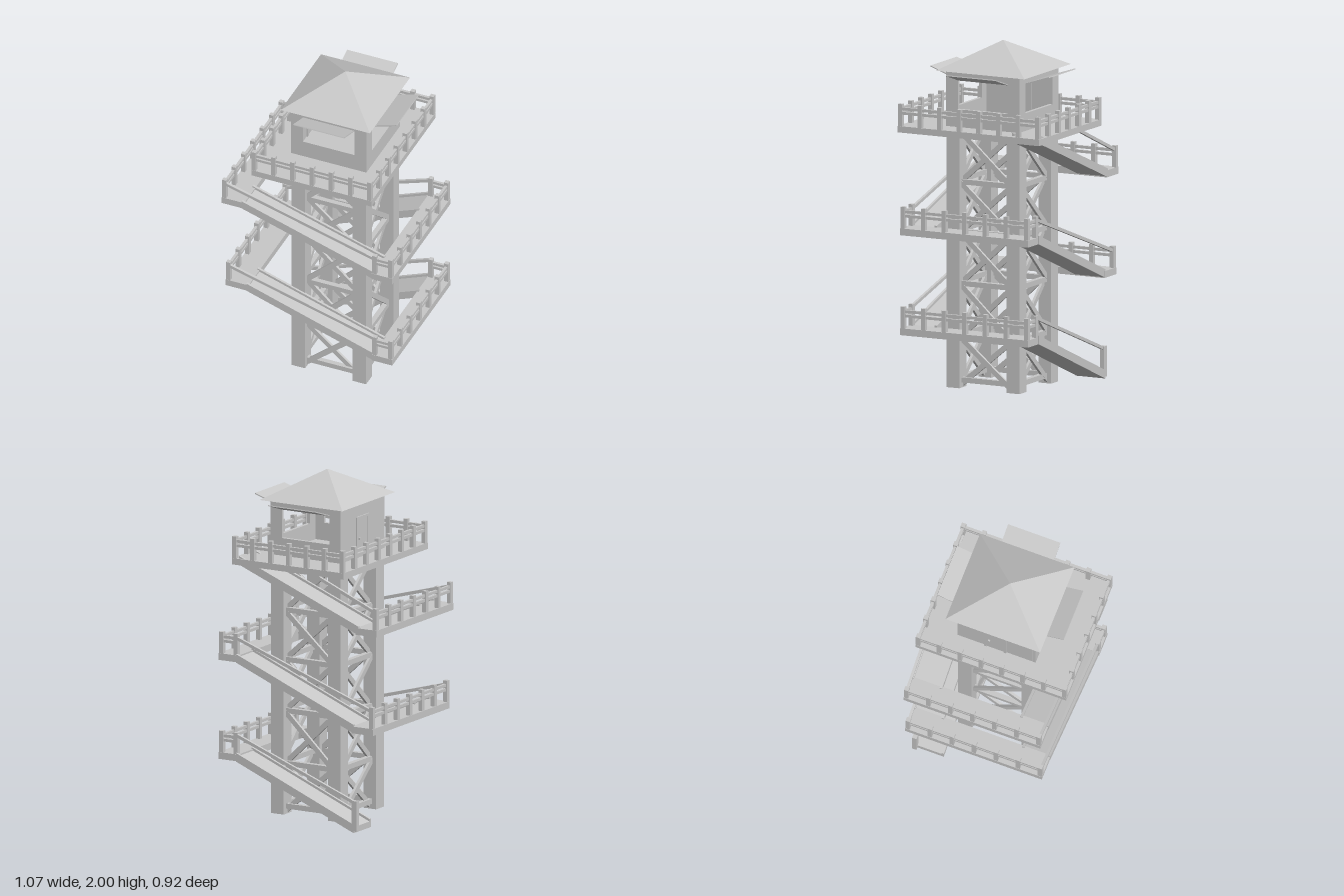
import * as THREE from 'three';

const grey = new THREE.MeshStandardMaterial({ color: 0xc8c8c8 });
grey.name = 'plain grey';

// tower centre and leg centre offsets
const CX = 0.06, CZ = -0.022, LX = 0.19, LZ = 0.195;
const V = (x, y, z) => new THREE.Vector3(x, y, z);

function add(parent, name, geometry) {
  const mesh = new THREE.Mesh(geometry, grey);
  mesh.name = name;
  parent.add(mesh);
  return mesh;
}

// box given by its limits on each axis
function block(parent, name, x0, x1, y0, y1, z0, z1) {
  const mesh = add(parent, name, new THREE.BoxGeometry(x1 - x0, y1 - y0, z1 - z0));
  mesh.position.set((x0 + x1) / 2, (y0 + y1) / 2, (z0 + z1) / 2);
  return mesh;
}

// straight bar between two points, w across and h high
function beam(parent, name, a, b, w, h) {
  const mesh = add(parent, name, new THREE.BoxGeometry(w, h, a.distanceTo(b)));
  mesh.position.copy(a).lerp(b, 0.5);
  mesh.lookAt(b);
  return mesh;
}

// posts with two thin rails standing on a floor, bottom at height y
function railing(parent, x0, z0, x1, z1, y) {
  const a = V(x0, 0, z0), b = V(x1, 0, z1);
  const length = a.distanceTo(b);
  const n = Math.max(1, Math.floor(length / 0.117));
  for (let i = 0; i <= n; i++) {
    const p = a.clone().lerp(b, i / n);
    block(parent, 'railPost', p.x - 0.013, p.x + 0.013, y, y + 0.165, p.z - 0.013, p.z + 0.013);
  }
  for (const h of [0.112, 0.138]) {
    beam(parent, 'rail', V(x0, y + h, z0), V(x1, y + h, z1), 0.016, 0.016);
  }
}

// sloping prism between two heights, cut vertically at its ends
function ramp(parent, name, x0, y0, x1, y1, thick, z0, z1) {
  const s = new THREE.Shape();
  s.moveTo(x0, y0);
  s.lineTo(x1, y1);
  s.lineTo(x1, y1 + thick);
  s.lineTo(x0, y0 + thick);
  add(parent, name, new THREE.ExtrudeGeometry(s, { depth: z1 - z0, bevelEnabled: false })).position.z = z0;
}

function makeFrame() {
  const g = new THREE.Group();
  g.name = 'towerFrame';
  for (const sx of [-1, 1]) for (const sz of [-1, 1]) {
    const x = CX + sx * LX, z = CZ + sz * LZ;
    block(g, 'leg', x - 0.042, x + 0.042, 0, 1.49, z - 0.042, z + 0.042);
  }
  // horizontals and crossed diagonals on all four sides
  const levels = [0.045, 0.295, 0.605, 0.905, 1.195, 1.49];
  for (const alongX of [true, false]) for (const side of [-1, 1]) {
    const at = (s, y, off) => alongX
      ? V(CX + s * LX * 0.86, y, CZ + side * (LZ + off))
      : V(CX + side * (LX + off), y, CZ + s * LZ * 0.86);
    levels.forEach((y, i) => {
      if (i < 5) beam(g, 'crossBar', at(-1, y, 0), at(1, y, 0), 0.03, 0.03);
      if (i === 5) return;
      const low = i === 0 ? 0.015 : y, high = levels[i + 1];
      beam(g, 'brace', at(-1, low, 0.008), at(1, high, 0.008), 0.016, 0.03);
      beam(g, 'brace', at(1, low, -0.008), at(-1, high, -0.008), 0.016, 0.03);
    });
  }
  return g;
}

function makeStairs() {
  const g = new THREE.Group();
  g.name = 'stairs';
  // flights: x0, y0, x1, y1 of the underside, then the handrail ends
  const back = [
    [-0.38, 0.0, 0.41, 0.325, -0.38, 0.175, 0.41, 0.475],
    [-0.38, 0.585, 0.41, 0.905, -0.49, 0.725, 0.41, 1.045],
    [-0.41, 1.165, 0.39, 1.482, -0.52, 1.305, -0.1, 1.482],
  ];
  const front = [
    [-0.38, 0.585, 0.41, 0.325, -0.49, 0.725, 0.41, 0.475],
    [-0.41, 1.165, 0.41, 0.905, -0.52, 1.305, 0.41, 1.045],
  ];
  const flights = (list, z0, z1, outer) => list.forEach(([x0, y0, x1, y1, hx0, hy0, hx1, hy1]) => {
    ramp(g, 'flight', x0, y0, x1, y1, 0.035, z0, z1);
    for (const z of [z0, z1 - 0.015]) ramp(g, 'stringer', x0, y0, x1, y1, 0.05, z, z + 0.015);
    beam(g, 'handrail', V(hx0, hy0, outer), V(hx1, hy1, outer), 0.016, 0.018);
  });
  flights(back, -0.452, -0.265, -0.437);
  flights(front, 0.212, 0.385, 0.373);
  block(g, 'bottomPost', -0.4, -0.365, 0.01, 0.188, -0.452, -0.425);

  // landings on the right-hand (+x) end
  for (const y of [0.325, 0.905]) {
    block(g, 'rightLanding', 0.4, 0.53, y, y + 0.04, -0.445, 0.388);
    railing(g, 0.515, -0.43, 0.515, 0.373, y);
    for (const z of [-0.43, 0.373]) railing(g, 0.417, z, 0.515, z, y);
  }
  // landings on the opposite end
  for (const [y, x0, x1] of [[0.585, -0.51, -0.367], [1.165, -0.535, -0.394]]) {
    block(g, 'leftLanding', x0, x1, y, y + 0.04, -0.453, 0.383);
    railing(g, x0 + 0.015, -0.438, x0 + 0.015, 0.369, y);
  }
  return g;
}

function makeDeck() {
  const g = new THREE.Group();
  g.name = 'deck';
  block(g, 'deckFloor', -0.317, 0.43, 1.48, 1.517, -0.462, 0.458);
  for (const x of [-0.303, 0.416]) railing(g, x, -0.448, x, 0.444, 1.48);
  for (const z of [-0.448, 0.444]) railing(g, -0.303, z, 0.416, z, 1.48);
  return g;
}

function makeCabin() {
  const g = new THREE.Group();
  g.name = 'cabin';
  const x0 = -0.175, x1 = 0.295, z0 = -0.26, z1 = 0.218, T = 0.02;
  // wall panel with an optional window, drawn around its own middle
  const wall = (width, windowed) => {
    const s = new THREE.Shape();
    const rect = (path, w, a, b) => {
      path.moveTo(-w, a);
      path.lineTo(w, a);
      path.lineTo(w, b);
      path.lineTo(-w, b);
      path.closePath();
    };
    rect(s, width / 2, 1.51, 1.845);
    if (windowed) {
      const hole = new THREE.Path();
      rect(hole, 0.16, 1.62, 1.79);
      s.holes.push(hole);
    }
    return new THREE.ExtrudeGeometry(s, { depth: T, bevelEnabled: false });
  };
  add(g, 'frontWall', wall(x1 - x0, true)).position.set(CX, 0, z1 - T);
  add(g, 'backWall', wall(x1 - x0, true)).position.set(CX, 0, z0);
  for (const [name, x, open] of [['rightWall', x1 - T, true], ['doorWall', x0, false]]) {
    const m = add(g, name, wall(z1 - z0 - 2 * T, open));
    m.rotation.y = Math.PI / 2;
    m.position.set(x, 0, CZ);
  }
  // door and its frame, showing on both faces of the wall
  block(g, 'door', x0 - 0.003, x0 + T + 0.003, 1.517, 1.74, -0.08, 0.025);
  for (const z of [-0.095, 0.025]) block(g, 'doorFrame', x0 - 0.008, x0 + T + 0.008, 1.517, 1.757, z, z + 0.015);
  block(g, 'doorFrame', x0 - 0.008, x0 + T + 0.008, 1.742, 1.757, -0.08, 0.025);
  block(g, 'doorHandle', x0 - 0.012, x0, 1.62, 1.632, -0.07, -0.058);

  // propped-up shutters above the windows
  beam(g, 'shutter', V(CX, 1.79, z1), V(CX, 1.84, 0.36), 0.317, 0.006);
  beam(g, 'shutter', V(CX, 1.79, z0), V(CX, 1.84, -0.412), 0.317, 0.006);
  beam(g, 'shutter', V(x1, 1.79, -0.026), V(0.446, 1.84, -0.026), 0.32, 0.006);

  // four-sided pointed roof
  const roof = new THREE.ConeGeometry(Math.SQRT1_2, 0.16, 4).toNonIndexed();
  roof.rotateY(Math.PI / 4);
  roof.scale(0.555, 1, 0.577);
  roof.computeVertexNormals();
  add(g, 'roof', roof).position.set(0.058, 1.92, -0.027);
  return g;
}

export function createModel() {
  const model = new THREE.Group();
  model.name = 'lookoutTower';
  model.add(makeFrame(), makeStairs(), makeDeck(), makeCabin());
  return model;
}
